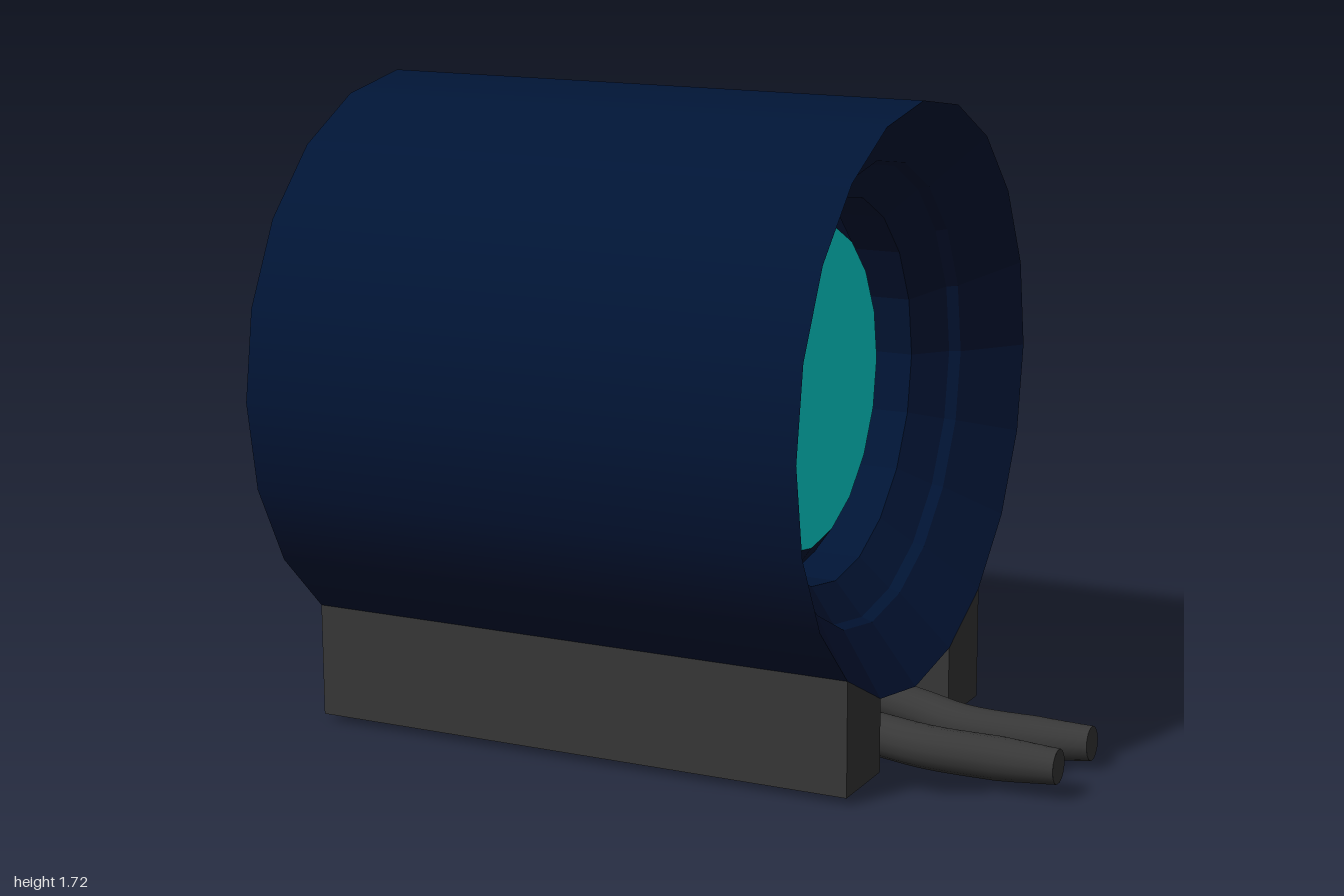
import * as THREE from 'three';

const SIDES = 20;
const AXIS_Y = 0.95, RADIUS = 0.77, LENS_RADIUS = 0.43;
const X_MIN = -1, X_MAX = 0.54;

const navy = new THREE.MeshStandardMaterial({ color: 0x011536 });
const teal = new THREE.MeshStandardMaterial({ color: 0x00e8e5 });
const rubber = new THREE.MeshStandardMaterial({ color: 0x383838 });

function addMesh(parent, name, geometry, material) {
  const mesh = new THREE.Mesh(geometry, material);
  mesh.name = name;
  parent.add(mesh);
  return mesh;
}

// Smooth outer wall of the drum
function shellGeometry() {
  const points = [X_MIN, X_MAX].map((x) => new THREE.Vector2(RADIUS, x));
  return new THREE.LatheGeometry(points, SIDES).rotateZ(-Math.PI / 2).translate(0, AXIS_Y, 0);
}

// One end of the drum: faceted, stepped funnel with a lens at the bottom
function addEnd(parent, name, x, dir, inner) {
  const end = new THREE.Group();
  end.name = name;
  // Profile of [radius, depth] from rim to lens
  const profile = [[RADIUS, 0], [0.61, 0.125], [0.6, 0.155], [0.51, 0.23], ...inner];
  const points = profile.map(([r, d]) => new THREE.Vector2(r, -d));
  const funnel = new THREE.LatheGeometry(points, SIDES).rotateZ((-dir * Math.PI) / 2).toNonIndexed();
  funnel.computeVertexNormals();
  addMesh(end, 'funnel', funnel, navy);

  const lens = addMesh(end, 'lens', new THREE.CircleGeometry(LENS_RADIUS, SIDES), teal);
  lens.position.x = -dir * profile.at(-1)[1];
  lens.rotation.y = (dir * Math.PI) / 2;

  end.position.set(x, AXIS_Y, 0);
  parent.add(end);
}

// Foot whose sloped top meets one facet of the drum
function footGeometry(side) {
  const [inner, outer] = [1, 2].map((i) => {
    const a = (i * 2 * Math.PI) / SIDES;
    return [RADIUS * Math.sin(a), AXIS_Y - RADIUS * Math.cos(a)];
  });
  const shape = new THREE.Shape([
    [inner[0], 0.02], [outer[0], 0.02], outer, inner,
  ].map(([z, y]) => new THREE.Vector2(-side * z, y)));
  const geometry = new THREE.ExtrudeGeometry(shape, { depth: X_MAX - X_MIN, bevelEnabled: false });
  return geometry.rotateY(Math.PI / 2).translate(X_MIN, 0, 0);
}

// Round cable with a narrowed, capped tip
function addCable(parent, name, path) {
  const cable = new THREE.Group();
  cable.name = name;
  const curve = new THREE.CatmullRomCurve3(path.map((p) => new THREE.Vector3(...p)));
  const rings = 48, radial = 14, radius = 0.057, tipScale = 0.8;
  const tube = new THREE.TubeGeometry(curve, rings, radius, radial);
  const pos = tube.attributes.position;
  const v = new THREE.Vector3();
  for (let i = 0; i < pos.count; i++) {
    const t = Math.floor(i / (radial + 1)) / rings;
    const centre = curve.getPointAt(t);
    const scale = THREE.MathUtils.mapLinear(Math.max(t, 0.92), 0.92, 1, 1, tipScale);
    v.fromBufferAttribute(pos, i).sub(centre).multiplyScalar(scale).add(centre);
    pos.setXYZ(i, v.x, v.y, v.z);
  }
  addMesh(cable, 'cableSheath', tube, rubber);
  const cap = addMesh(cable, 'cableTip', new THREE.CircleGeometry(radius * tipScale, radial), rubber);
  const tip = curve.getPointAt(1);
  cap.position.copy(tip);
  cap.lookAt(tip.clone().add(curve.getTangentAt(1)));
  parent.add(cable);
}

export function createModel() {
  const model = new THREE.Group();
  model.name = 'drumLamp';

  addMesh(model, 'shell', shellGeometry(), navy);

  // The left lens sits deeper than the right one
  addEnd(model, 'leftEnd', X_MAX, 1, [[0.51, 0.36], [LENS_RADIUS, 0.3]]);
  addEnd(model, 'rightEnd', X_MIN, -1, [[0.51, 0.25], [LENS_RADIUS, 0.21]]);

  addMesh(model, 'frontFoot', footGeometry(1), rubber);
  addMesh(model, 'backFoot', footGeometry(-1), rubber);

  // Cables drop from the drum's underside and wander out at the left end
  addCable(model, 'frontCable', [
    [-0.85, 0.24, 0.04], [-0.7, 0.11, 0.08], [-0.35, 0.072, 0.12], [-0.05, 0.09, 0.14],
    [0.25, 0.1, 0.11], [0.5, 0.085, 0.14], [0.65, 0.083, 0.172], [0.85, 0.083, 0.175], [1, 0.085, 0.175],
  ]);
  addCable(model, 'backCable', [
    [-0.85, 0.24, -0.16], [-0.7, 0.11, -0.15], [-0.35, 0.07, -0.13], [-0.05, 0.085, -0.14],
    [0.25, 0.1, -0.15], [0.5, 0.075, -0.12], [0.65, 0.06, -0.087], [0.85, 0.058, -0.085], [1, 0.065, -0.085],
  ]);

  return model;
}
